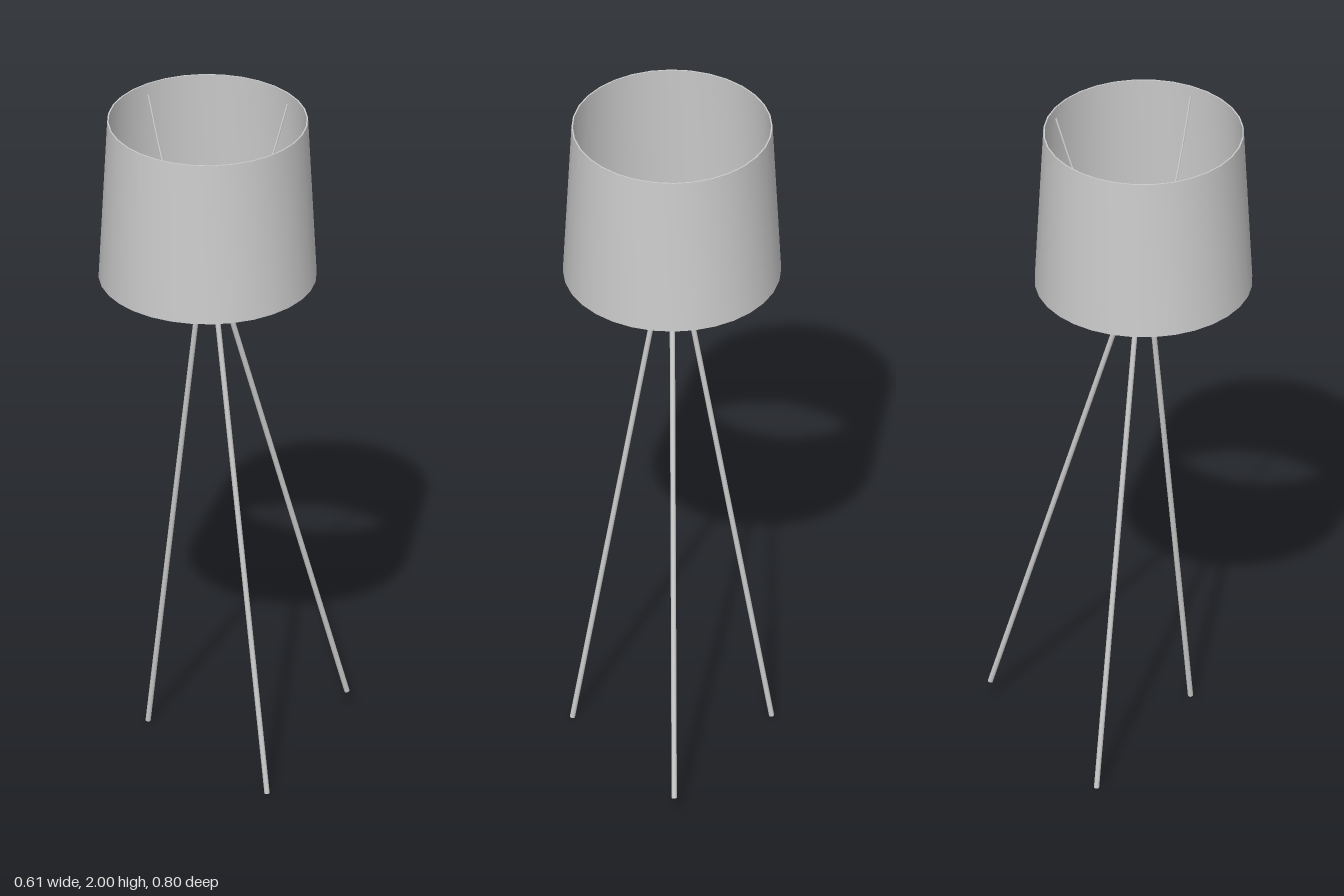
import * as THREE from 'three';
import { toCreasedNormals } from 'three/addons/utils/BufferGeometryUtils.js';

const CENTRE_Z = 0.093; // shade and hub axis

export function createModel() {
  const lamp = new THREE.Group();
  lamp.name = 'tripodFloorLamp';
  const material = new THREE.MeshStandardMaterial({ color: 0xcccccc, side: THREE.DoubleSide });
  const v = (x, y, z = 0) => new THREE.Vector3(x, y, z);

  function add(name, geometry) {
    const mesh = new THREE.Mesh(geometry, material);
    mesh.name = name;
    mesh.position.z = CENTRE_Z;
    lamp.add(mesh);
    return mesh;
  }

  // Turned part from a [radius, height] profile
  function turned(name, profile) {
    const points = profile.map(([r, y]) => new THREE.Vector2(r, y));
    return add(name, toCreasedNormals(new THREE.LatheGeometry(points, 32), 0.6));
  }

  // Straight round rod between two points
  function rod(name, a, b, radius) {
    const dir = b.clone().sub(a);
    const geometry = new THREE.CylinderGeometry(radius, radius, dir.length(), 12);
    geometry.applyQuaternion(new THREE.Quaternion().setFromUnitVectors(v(0, 1), dir.normalize()));
    geometry.translate((a.x + b.x) / 2, (a.y + b.y) / 2, (a.z + b.z) / 2);
    return add(name, geometry);
  }

  // Thin tapered drum shade, open at both ends
  turned('shade', [[0.301, 1.515], [0.305, 1.515], [0.281, 2], [0.277, 2], [0.301, 1.515]]);

  // Base plate under the hub
  turned('hubPlate', [[0, 1.49], [0.054, 1.49], [0.059, 1.493], [0.059, 1.501], [0.05, 1.504], [0, 1.504]]);

  // Hub cup, hollowed on top
  turned('hubCup', [
    [0, 1.503], [0.058, 1.503], [0.063, 1.508], [0.068, 1.53], [0.068, 1.55], [0.064, 1.555],
    [0.055, 1.555], [0.052, 1.535], [0.042, 1.52], [0.025, 1.512], [0, 1.51],
  ]);

  // Curved wire from the hub rim up to the shade
  const spokeCurve = new THREE.CatmullRomCurve3([
    v(0.06, 1.55), v(0.15, 1.66), v(0.216, 1.795), v(0.278, 1.965),
  ]);
  const sides = [['left', 0], ['back', Math.PI / 2], ['right', Math.PI]];
  for (const [side, angle] of sides) {
    const spoke = add(side + 'ShadeSupport', new THREE.TubeGeometry(spokeCurve, 16, 0.003, 8));
    spoke.rotation.y = angle;
  }

  // Two side legs in the hub plane and a wider-set back leg
  rod('leftLeg', v(0.278, 0.001), v(0.029, 1.5), 0.0075);
  rod('rightLeg', v(-0.278, 0.001), v(-0.029, 1.5), 0.0075);
  rod('backLeg', v(0, 0.058, -0.485), v(0, 1.5, -0.037), 0.0075);

  return lamp;
}
